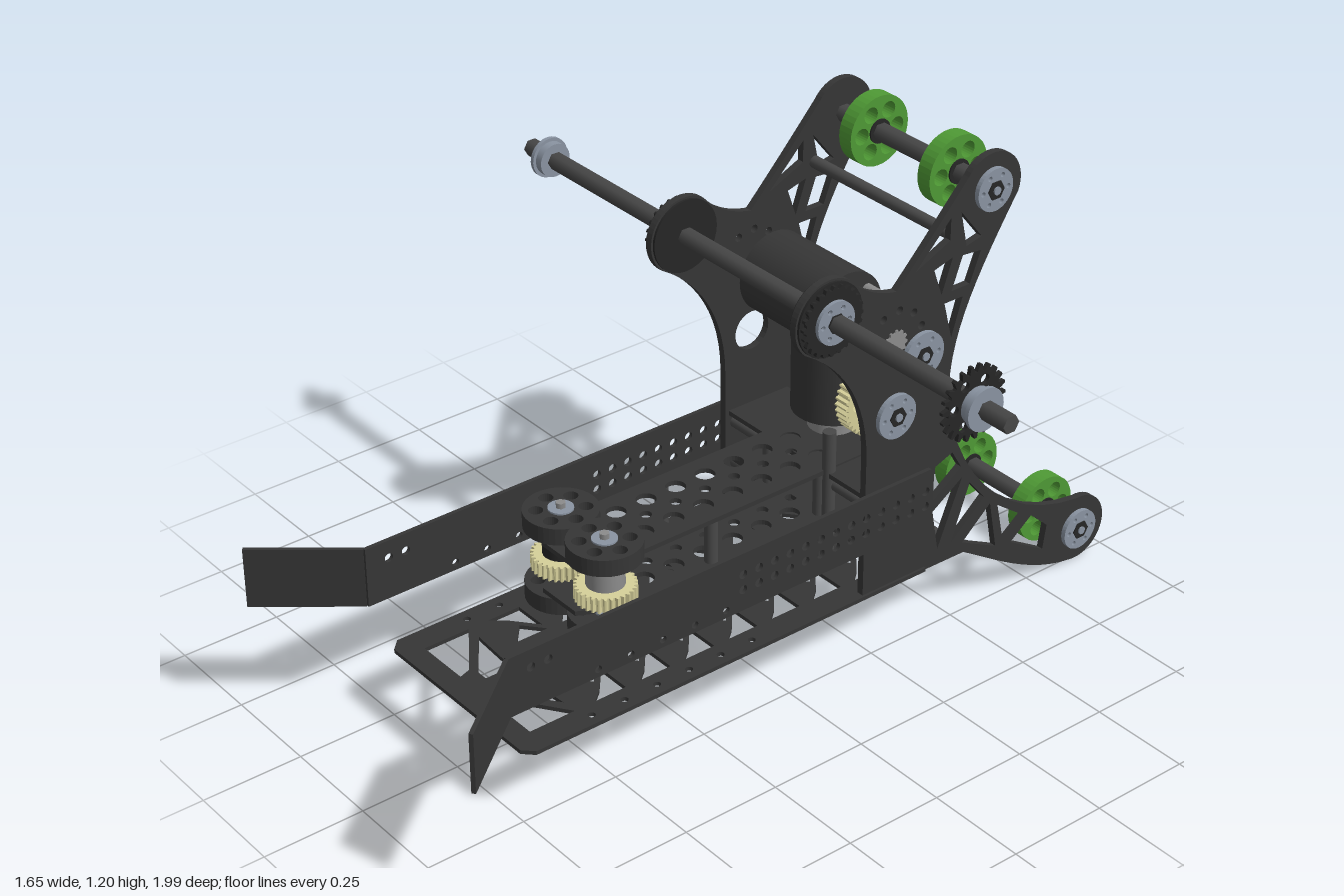
import * as THREE from 'three';

const mat = (color) => new THREE.MeshStandardMaterial({ color });
const DARK = mat(0x363636), BLACK = mat(0x262626), SHAFT = mat(0x484848);
const GREEN = mat(0x4f9a35), STEEL = mat(0x8a94a2), GREY = mat(0x8c8c8c), BRASS = mat(0xd6d09a);

export function createModel() {
  const root = new THREE.Group();

  function add(name, geo, material, x = 0, y = 0, z = 0) {
    const m = new THREE.Mesh(geo, material);
    m.name = name;
    m.position.set(x, y, z);
    root.add(m);
    return m;
  }
  const box = (name, w, h, d, x, y, z, m = DARK) => add(name, new THREE.BoxGeometry(w, h, d), m, x, y, z);

  // cylinder along x or y
  function rod(name, axis, r, len, x, y, z, m = SHAFT, sides = 24) {
    const mesh = add(name, new THREE.CylinderGeometry(r, r, len, sides), m, x, y, z);
    if (axis === 'x') mesh.rotation.z = Math.PI / 2;
    return mesh;
  }
  const extrude = (shape, depth, curveSegments = 12) =>
    new THREE.ExtrudeGeometry(shape, { depth, bevelEnabled: false, curveSegments }).translate(0, 0, -depth / 2);

  // shape drawn in (z, y), standing across x
  function upright(name, shape, t, x, y, z, m = DARK) {
    const mesh = add(name, extrude(shape, t), m, x, y, z);
    mesh.rotation.y = -Math.PI / 2;
    return mesh;
  }
  // shape drawn in (x, z), lying flat
  function flat(name, shape, t, x, y, z, m = DARK) {
    const mesh = add(name, extrude(shape, t), m, x, y, z);
    mesh.rotation.x = Math.PI / 2;
    return mesh;
  }
  const poly = (pts) => new THREE.Shape(pts.map(([a, b]) => new THREE.Vector2(a, b)));
  const cut = (shape, pts) => shape.holes.push(poly(pts));
  function cutCircle(shape, a, b, r) {
    const p = new THREE.Path();
    p.absarc(a, b, r, 0, Math.PI * 2, true);
    shape.holes.push(p);
  }
  // toothed or plain disc with a ring of lightening holes
  function disc(r, teeth, depth, holes = 0, holeR = 0, ringR = 0) {
    const pts = [];
    const n = teeth ? teeth * 4 : 40;
    for (let i = 0; i < n; i++) {
      const a = (i / n) * Math.PI * 2, q = teeth && i % 4 > 1 ? r - depth : r;
      pts.push([Math.cos(a) * q, Math.sin(a) * q]);
    }
    const s = poly(pts);
    for (let i = 0; i < holes; i++) {
      const a = (i / holes) * Math.PI * 2;
      cutCircle(s, Math.cos(a) * ringR, Math.sin(a) * ringR, holeR);
    }
    return s;
  }

  // side plate outline with three round bosses and truss openings
  function sidePlate(open) {
    const s = new THREE.Shape();
    s.moveTo(-0.21, 0.18);
    s.lineTo(-0.21, 0.55);
    s.bezierCurveTo(-0.21, 0.7, -0.14, 0.82, -0.024, 0.887);
    s.absarc(-0.09, 0.955, 0.095, -0.8, 2.2, false);
    s.quadraticCurveTo(-0.2, 0.97, -0.285, 0.955);
    s.quadraticCurveTo(-0.37, 1.04, -0.488, 1.169);
    s.absarc(-0.56, 1.12, 0.087, 0.6, 3.5, false);
    s.bezierCurveTo(-0.53, 0.92, -0.46, 0.8, -0.455, 0.66);
    s.bezierCurveTo(-0.46, 0.42, -0.65, 0.2, -0.899, 0.177);
    s.absarc(-0.905, 0.09, 0.087, 1.5, 4.9, false);
    s.bezierCurveTo(-0.75, 0.02, -0.62, 0.12, -0.525, 0.176);
    s.closePath();
    [
      [[-0.34, 0.985], [-0.44, 1.085], [-0.44, 1.03]],
      [[-0.47, 1.09], [-0.535, 1.01], [-0.49, 1.0]],
      [[-0.395, 0.97], [-0.45, 0.985], [-0.42, 0.9]],
      [[-0.48, 0.98], [-0.535, 0.975], [-0.505, 0.9], [-0.45, 0.9]],
      [[-0.43, 0.875], [-0.485, 0.875], [-0.455, 0.78]],
      [[-0.42, 0.45], [-0.475, 0.47], [-0.505, 0.42], [-0.42, 0.36]],
      [[-0.42, 0.33], [-0.51, 0.39], [-0.44, 0.22]],
      [[-0.535, 0.365], [-0.585, 0.305], [-0.48, 0.215]],
      [[-0.605, 0.28], [-0.52, 0.205], [-0.63, 0.15]],
      [[-0.63, 0.265], [-0.72, 0.2], [-0.655, 0.15]],
      [[-0.68, 0.14], [-0.745, 0.19], [-0.8, 0.14], [-0.79, 0.075]],
    ].forEach((p) => cut(s, p));
    for (let i = 0; i < 7; i++) {
      const a = 0.5 + i * 0.6;
      cutCircle(s, -0.285 + Math.cos(a) * 0.08, 0.825 + Math.sin(a) * 0.08, 0.01);
    }
    if (open) cutCircle(s, -0.29, 0.64, 0.05);
    return s;
  }

  // bearing: steel ring, dark hexagonal core
  function bearing(x, y, z, r = 0.052) {
    const out = Math.sign(x);
    upright('bearing', disc(r, 0, 0, 6, 0.006, r * 0.72), 0.014, x, y, z, STEEL);
    rod('bearingCore', 'x', 0.024, 0.02, x, y, z, BLACK, 6);
    rod('shaftEnd', 'x', 0.01, 0.024, x + out * 0.002, y, z, STEEL, 12);
  }

  // mirrored sides: plates, rails, flared guides
  for (const s of [1, -1]) {
    upright('sidePlate', sidePlate(s < 0), 0.018, s * 0.25, 0, 0);
    rod('mainShaftBoss', 'x', 0.09, 0.03, s * 0.25, 0.955, -0.09, BLACK, 32);
    upright('bossRing', disc(0.085, 24, 0.008), 0.01, s * 0.27, 0.955, -0.09, BLACK);
    bearing(s * 0.277, 0.955, -0.09);
    bearing(s * 0.264, 1.12, -0.56);
    bearing(s * 0.264, 0.09, -0.905);

    const rail = poly([[-0.4, 0.31], [0.79, 0.31], [0.79, 0.46], [-0.4, 0.46]]);
    for (let i = 0; i < 13; i++) for (const y of [0.365, 0.405]) cutCircle(rail, 0.155 - i * 0.045, y, 0.011);
    for (let i = 0; i < 5; i++) cutCircle(rail, 0.555 - i * 0.088, 0.33, 0.009);
    for (const z of [0.685, 0.73]) cutCircle(rail, z, 0.415, 0.011);
    upright('sideRail', rail, 0.01, s * 0.266, 0, 0);
    const flare = box('flaredGuide', 0.01, 0.15, 0.265, s * 0.351, 0.385, 0.893);
    flare.rotation.y = s * Math.atan2(0.165, 0.205);
  }

  // truss floor plate
  const floor = poly([[-0.265, -0.4], [0.265, -0.4], [0.265, 0.72], [0.24, 0.745], [-0.24, 0.745], [-0.265, 0.72]]);
  for (const s of [1, -1]) {
    for (let i = 0; i < 7; i++) {
      const z = -0.32 + i * 0.125;
      cut(floor, [[s * 0.09, z], [s * 0.09, z + 0.085], [s * 0.14, z + 0.042]]);
      cut(floor, [[s * 0.11, z], [s * 0.2, z], [s * 0.2, z + 0.085], [s * 0.17, z + 0.05]]);
    }
    cut(floor, [[s * 0.2, 0.57], [s * 0.2, 0.69], [s * 0.06, 0.69], [s * 0.07, 0.66]]);
    cut(floor, [[s * 0.02, 0.58], [s * 0.16, 0.57], [s * 0.05, 0.65], [s * 0.02, 0.65]]);
    for (let i = 0; i < 6; i++) cutCircle(floor, s * 0.235, 0.1 + i * 0.09, 0.009);
  }
  flat('floorPlate', floor, 0.01, 0, 0.182, 0);

  // narrow decks carrying the intake rollers
  const deck = poly([[-0.11, -0.4], [0.11, -0.4], [0.11, 0.36], [0.06, 0.46], [-0.06, 0.46], [-0.11, 0.36]]);
  for (let i = 0; i < 7; i++) {
    const z = -0.25 + i * 0.085;
    cutCircle(deck, 0, z + 0.04, 0.014);
    for (const s of [1, -1]) cutCircle(deck, s * 0.05, z, 0.024);
  }
  for (const y of [0.32, 0.445]) flat('deck', deck, 0.012, 0, y, 0);
  for (const y of [0.32, 0.44]) box('rearDeck', 0.48, 0.012, 0.18, 0, y, -0.31);
  for (const s of [1, -1]) {
    const x = s * 0.08;
    for (const y of [0.477, 0.292]) {
      flat('intakeRoller', disc(0.087, 0, 0, 6, 0.017, 0.056), 0.042, x, y, 0.39, DARK);
      rod('rollerHub', 'y', 0.03, 0.05, x, y, 0.39, STEEL);
    }
    flat('intakeGear', disc(0.072, 30, 0.008), 0.036, x, 0.366, 0.39, BRASS);
    rod('gearSpacer', 'y', 0.045, 0.05, x, 0.41, 0.39, s > 0 ? GREY : BLACK);
    rod('rollerShaft', 'y', 0.012, 0.26, x, 0.385, 0.39, GREY, 6);
    for (const z of [-0.22, 0.1]) rod('deckPost', 'y', 0.016, 0.12, s * 0.09, 0.383, z);
    rod('floorPost', 'y', 0.018, 0.13, s * 0.085 - 0.02, 0.25, -0.25);
  }
  rod('tallPost', 'y', 0.016, 0.35, 0.11, 0.375, -0.23);

  // axles with drive wheels
  for (const [y, z] of [[1.12, -0.56], [0.09, -0.905]]) {
    rod('wheelAxle', 'x', 0.022, 0.52, 0, y, z, SHAFT, 6);
    for (const x of [-0.135, 0.13]) {
      upright('wheel', disc(0.087, 0, 0, 6, 0.02, 0.053), 0.04, x, y, z, GREEN);
      rod('wheelHub', 'x', 0.03, 0.048, x, y, z, BLACK);
    }
    upright('smallSprocket', disc(0.05, 14, 0.01), 0.014, 0.22, y, z, BLACK);
    rod('sprocketHub', 'x', 0.03, 0.04, 0.215, y, z, BLACK);
  }

  // long cross shaft
  rod('mainShaft', 'x', 0.022, 1.65, 0, 0.955, -0.09, SHAFT, 6);
  for (const x of [-0.745, 0.735]) {
    rod('shaftCollar', 'x', 0.042, 0.03, x, 0.955, -0.09, STEEL);
    rod('collarFlange', 'x', 0.05, 0.01, x + Math.sign(x) * 0.01, 0.955, -0.09, STEEL);
  }
  upright('driveSprocket', disc(0.088, 22, 0.016, 6, 0.012, 0.055), 0.01, 0.71, 0.955, -0.09, BLACK);

  // spacers between the side plates
  for (const [y, z] of [[1.02, -0.475], [0.27, -0.37], [0.3, -0.24], [0.37, -0.37], [0.41, -0.24], [0.22, -0.48]])
    rod('spacer', 'x', 0.015, 0.49, 0, y, z, SHAFT);

  // motors
  rod('liftMotor', 'x', 0.1, 0.26, -0.035, 0.83, -0.29, DARK, 40);
  rod('intakeMotor', 'y', 0.1, 0.2, -0.04, 0.6, -0.37, DARK, 40);
  rod('intakeMotorMount', 'y', 0.06, 0.07, -0.04, 0.475, -0.37, GREY);
  rod('intakePinion', 'y', 0.03, 0.1, -0.04, 0.39, -0.37, BRASS);

  // lift gearbox
  for (let i = 0; i < 6; i++) {
    const a = (i / 6) * Math.PI * 2 + 0.3;
    rod('gearboxPost', 'x', 0.015, 0.15, 0.165, 0.82 + Math.sin(a) * 0.075, -0.29 + Math.cos(a) * 0.075, GREY);
  }
  box('gearboxPlate', 0.012, 0.24, 0.12, 0.137, 0.68, -0.32, BLACK);
  for (const [y, z, r] of [[0.655, -0.29, 0.092], [0.77, -0.375, 0.06]]) {
    upright('liftGear', disc(r, 36, 0.008, 6, r * 0.16, r * 0.6), 0.038, 0.18, y, z, BRASS);
    rod('gearShaft', 'x', 0.018, 0.13, 0.195, y, z, GREY, 6);
    rod('gearCollar', 'x', 0.045, 0.03, 0.222, y, z, BLACK);
  }
  bearing(0.264, 0.77, -0.365, 0.058);
  bearing(0.264, 0.64, -0.29, 0.055);
  upright('motorPinion', disc(0.034, 12, 0.006), 0.014, 0.256, 0.825, -0.285, GREY);

  return root;
}
